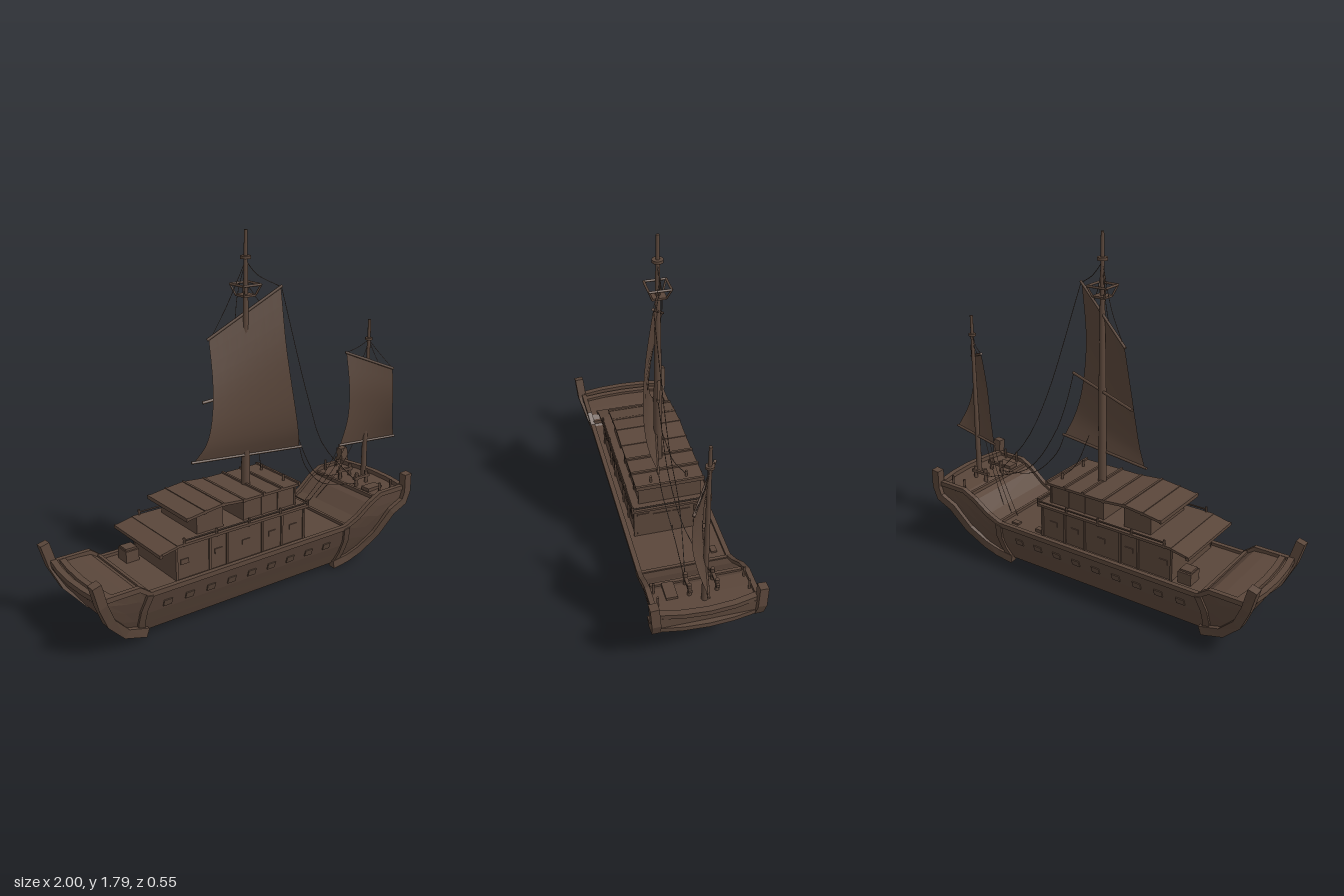
import * as THREE from 'three';

const wood = new THREE.MeshStandardMaterial({ color: 0x5a463a, side: THREE.DoubleSide });
wood.name = 'weathered brown wood';
const V = (x, y, z) => new THREE.Vector3(x, y, z);

export function createModel() {
  const model = new THREE.Group();
  model.name = 'sailingJunk';
  const add = (name, geo, parent = model) => {
    const m = new THREE.Mesh(geo, wood);
    m.name = name;
    parent.add(m);
    return m;
  };
  const box = (name, x0, x1, y0, y1, z0, z1) => {
    const m = add(name, new THREE.BoxGeometry(x1 - x0, y1 - y0, z1 - z0));
    m.position.set((x0 + x1) / 2, (y0 + y1) / 2, (z0 + z1) / 2);
    return m;
  };
  // Faceted skin over matching rings of points, with closed ends
  const loft = (rings) => {
    const p = [], n = rings[0].length;
    const tri = (...v) => v.forEach((q) => p.push(q.x, q.y, q.z));
    for (let i = 0; i + 1 < rings.length; i++) for (let j = 0; j < n; j++) {
      const k = (j + 1) % n, a = rings[i], b = rings[i + 1];
      tri(a[j], a[k], b[k]);
      tri(a[j], b[k], b[j]);
    }
    const s = rings[0], e = rings[rings.length - 1];
    for (let j = 1; j + 1 < n; j++) { tri(s[0], s[j + 1], s[j]); tri(e[0], e[j], e[j + 1]); }
    const g = new THREE.BufferGeometry();
    g.setAttribute('position', new THREE.Float32BufferAttribute(p, 3));
    g.computeVertexNormals();
    return g;
  };
  // Rectangular timber swept along a bent path; w is its size along the side axis
  const beam = (name, pts, w, h, side = V(0, 0, 1)) => add(name, loft(pts.map((p, i) => {
    const T = pts[Math.min(i + 1, pts.length - 1)].clone().sub(pts[Math.max(i - 1, 0)]).normalize();
    const S = side.clone().addScaledVector(T, -side.dot(T)).normalize();
    const N = T.clone().cross(S);
    return [[1, -1], [1, 1], [-1, 1], [-1, -1]].map(([a, b]) =>
      p.clone().addScaledVector(S, a * w / 2).addScaledVector(N, b * h / 2));
  })));
  const pole = (name, a, b, r0, r1 = r0, sides = 8) => {
    const d = b.clone().sub(a);
    const m = add(name, new THREE.CylinderGeometry(r1, r0, d.length(), sides));
    m.position.copy(a).addScaledVector(d, 0.5);
    m.quaternion.setFromUnitVectors(V(0, 1, 0), d.normalize());
    return m;
  };
  const rope = (...pts) => add('rope', new THREE.TubeGeometry(
    new THREE.CatmullRomCurve3(pts.map((p) => V(...p))), 14, 0.0018, 4));

  // Flared half width of the hull at a given height
  const widths = [[0, 0.13], [0.04, 0.145], [0.15, 0.192], [0.27, 0.232], [0.33, 0.24], [0.5, 0.25]];
  const halfWidth = (y) => {
    let i = 0;
    while (i < widths.length - 2 && y > widths[i + 1][0]) i++;
    const [[y0, w0], [y1, w1]] = [widths[i], widths[i + 1]];
    return w0 + (w1 - w0) * (y - y0) / (y1 - y0);
  };

  // Hull stations: x, bottom, top
  const stations = [[-0.965, 0.29, 0.305], [-0.91, 0.19, 0.305], [-0.82, 0.09, 0.305], [-0.76, 0.065, 0.3],
    [-0.7, 0.04, 0.262], [0.47, 0.033, 0.262], [0.55, 0.05, 0.3], [0.63, 0.085, 0.36], [0.7, 0.15, 0.39],
    [0.78, 0.27, 0.395], [0.88, 0.315, 0.395]];
  add('hull', loft(stations.map(([x, b, t]) => {
    const half = [0, 1, 2, 3, 4].map((k) => {
      const y = t + (b - t) * k / 4;
      return V(x, y, halfWidth(y));
    });
    return [...half, V(x, b - 0.01, 0), ...half.map((p) => V(x, p.y, -p.z)).reverse()];
  })));

  const bowEdge = [[0.46, 0.028], [0.55, 0.045], [0.62, 0.08], [0.71, 0.165], [0.785, 0.285], [0.865, 0.325], [0.882, 0.38], [0.875, 0.48]];
  const sternEdge = [[-0.69, 0.04], [-0.81, 0.085], [-0.905, 0.19], [-0.955, 0.3], [-0.985, 0.41]];
  const sheer = [[-0.965, 0.31], [-0.76, 0.31], [-0.7, 0.265], [0.47, 0.265], [0.55, 0.305], [0.63, 0.365], [0.7, 0.4], [0.88, 0.4]];
  for (const s of [1, -1]) {
    // Heavy edge timbers that rise into horn posts
    const alongHull = (list, off) => list.map(([x, y]) => V(x, y, s * (halfWidth(y) + off)));
    beam('bowEdgeTimber', alongHull(bowEdge, 0.002), 0.042, 0.045);
    beam('sternEdgeTimber', alongHull(sternEdge, 0.006), 0.045, 0.045);
    beam('gunwale', alongHull(sheer, -0.006), 0.024, 0.024);
    // Curved ribs where the ends meet the middle of the hull
    for (const [x, dir] of [[0.475, 1], [-0.705, -1]]) {
      beam('hullRib', [0.03, 0.1, 0.18, 0.265].map((y, i) =>
        V(x + dir * [0, 0.018, 0.02, 0][i], y, s * (halfWidth(y) + 0.003))), 0.035, 0.016, V(1, 0, 0));
    }
    // Row of small hull ports
    for (let i = 0; i < 9; i++) {
      const port = box('hullPort', -0.62 + i * 0.12, -0.575 + i * 0.12, 0.165, 0.2, -0.004, 0.004);
      port.position.z = s * 0.204;
      port.rotation.x = s * 0.32;
    }
  }

  // Bowed end rails and deck beams
  const endRail = (name, x, dx, y) => beam(name, [-0.23, -0.12, 0, 0.12, 0.23].map((z) =>
    V(x + dx * (1 - (z / 0.23) ** 2), y, z)), 0.03, 0.025, V(1, 0, 0));
  endRail('sternRail', -0.95, -0.025, 0.315);
  endRail('sternInnerRail', -0.905, -0.02, 0.308);
  endRail('bowRail', 0.86, 0.03, 0.405);
  endRail('bowLip', 0.865, 0.025, 0.325);
  for (const [x, y] of [[-0.72, 0.28], [0.48, 0.268], [0.67, 0.382]])
    box('deckBeam', x - 0.008, x + 0.008, y - 0.01, y + 0.01, -0.22, 0.22);

  // Lower cabin with its roof, posts, windows and rail
  box('lowerCabin', -0.54, 0.225, 0.25, 0.435, -0.185, 0.185);
  box('lowerRoof', -0.54, 0.24, 0.432, 0.445, -0.205, 0.205);
  beam('aftRoofSlope', [V(-0.63, 0.418, 0), V(-0.53, 0.438, 0)], 0.41, 0.012);
  box('aftRoofEdge', -0.635, -0.62, 0.408, 0.424, -0.21, 0.21);
  for (const s of [1, -1]) {
    for (const x of [-0.535, -0.35, -0.25, -0.04, 0.08, 0.22])
      box('cabinPost', x - 0.006, x + 0.006, 0.262, 0.435, s * 0.187 - 0.005, s * 0.187 + 0.005);
    for (const x of [-0.49, -0.3, -0.14, 0.02, 0.15])
      box('cabinWindow', x - 0.022, x + 0.022, 0.335, 0.36, s * 0.187 - 0.003, s * 0.187 + 0.003);
    pole('roofRail', V(-0.5, 0.458, s * 0.2), V(0.24, 0.458, s * 0.2), 0.004, 0.004, 6);
    for (const x of [-0.5, -0.32, -0.13, 0.06, 0.235])
      pole('railPost', V(x, 0.43, s * 0.2), V(x, 0.472, s * 0.2), 0.006, 0.006, 6);
    pole('roofPin', V(0.165, 0.55, s * 0.09), V(0.165, 0.59, s * 0.09), 0.007);
    box('frontDoor', 0.226, 0.23, 0.27, 0.4, s * 0.05 - 0.045, s * 0.05 + 0.045);
    box('frontPanel', 0.226, 0.23, 0.28, 0.41, s * 0.145 - 0.03, s * 0.145 + 0.03);
  }
  pole('frontRail', V(0.235, 0.458, -0.2), V(0.235, 0.458, 0.2), 0.004, 0.004, 6);

  // Upper cabins and their shared bent roof
  box('upperForeCabin', -0.135, 0.19, 0.44, 0.55, -0.155, 0.155);
  box('upperAftCabin', -0.4, -0.25, 0.44, 0.55, -0.155, 0.155);
  box('upperForeRoof', -0.14, 0.205, 0.545, 0.558, -0.172, 0.172);
  const roofLine = [[-0.46, 0.538], [-0.36, 0.552], [-0.26, 0.563], [-0.14, 0.552]];
  beam('upperAftRoof', roofLine.map(([x, y]) => V(x, y, 0)), 0.345, 0.013);
  for (const [x, y] of [...roofLine, [-0.02, 0.557], [0.09, 0.557], [0.2, 0.557]])
    box('roofBatten', x - 0.006, x + 0.006, y - 0.009, y + 0.01, -0.174, 0.174);
  for (const s of [1, -1]) {
    for (const x of [-0.13, -0.02, 0.08, 0.185])
      box('upperPost', x - 0.005, x + 0.005, 0.445, 0.548, s * 0.156 - 0.004, s * 0.156 + 0.004);
  }

  // Deck fittings
  box('sternChest', -0.635, -0.565, 0.26, 0.32, -0.18, -0.1);
  box('sternChestLid', -0.63, -0.57, 0.32, 0.33, -0.17, -0.11);
  box('bowHatch', 0.685, 0.78, 0.39, 0.408, 0.115, 0.17);
  box('deckCleat', 0.24, 0.275, 0.26, 0.28, -0.18, -0.15);
  box('deckCleat', 0.39, 0.43, 0.26, 0.272, -0.18, -0.15);
  for (const z of [-0.07, 0.06]) {
    for (const x of [0.7, 0.77]) pole('bitt', V(x, 0.385, z), V(x, 0.46, z), 0.01);
    box('bittBar', 0.68, 0.79, 0.425, 0.44, z - 0.008, z + 0.008);
  }
  for (const z of [-0.215, 0.215]) for (const x of [0.72, 0.8])
    pole('bowPin', V(x, 0.39, z), V(x, 0.45, z), 0.006);

  // Masts with caps
  pole('mainMast', V(-0.01, 0.26, 0.01), V(-0.01, 1.0, 0.01), 0.025, 0.02, 10);
  pole('mainTopmast', V(-0.01, 1.0, 0.01), V(-0.01, 1.8, 0.01), 0.02, 0.008, 10);
  pole('mainMastCap', V(-0.01, 1.668, 0.01), V(-0.01, 1.682, 0.01), 0.027, 0.027, 10);
  pole('foreMast', V(0.808, 0.38, 0), V(0.808, 1.28, 0), 0.016, 0.008, 10);
  pole('foreMastCap', V(0.808, 1.17, 0), V(0.808, 1.182, 0), 0.02, 0.02, 10);

  // Open square lookout frame
  const corner = (i, r, y) => V(-0.01 + r * [1, -1, -1, 1][i % 4], y, 0.01 + r * [1, 1, -1, -1][i % 4]);
  box('lookoutFloor', -0.045, 0.025, 1.494, 1.504, -0.025, 0.045);
  for (let i = 0; i < 4; i++) {
    pole('lookoutStrut', corner(i, 0.033, 1.5), corner(i, 0.052, 1.55), 0.005);
    pole('lookoutRail', corner(i, 0.052, 1.55), corner(i + 1, 0.052, 1.55), 0.006);
  }

  // Sails: two curved side edges, skinned across and bellied forward
  const sail = (name, left, right, belly) => {
    const [L, R] = [left, right].map((e) => new THREE.CatmullRomCurve3(e.map((p) => V(...p))));
    const g = new THREE.PlaneGeometry(1, 1, 8, 14), p = g.attributes.position;
    for (let i = 0; i < p.count; i++) {
      const u = p.getX(i) + 0.5, v = 0.5 - p.getY(i);
      const q = L.getPoint(v).lerp(R.getPoint(v), u);
      p.setXYZ(i, q.x, q.y, q.z + belly * Math.sin(Math.PI * v));
    }
    g.computeVertexNormals();
    add(name, g);
    const spar = (k) => pole(name + 'Spar', V(...left[k]).lerp(V(...right[k]), -0.02), V(...right[k]).lerp(V(...left[k]), -0.02), 0.007);
    spar(0);
    spar(left.length - 1);
  };
  sail('mainSail',
    [[-0.177, 1.3, -0.055], [-0.185, 1.1, -0.045], [-0.205, 0.92, -0.04], [-0.235, 0.8, -0.035], [-0.285, 0.715, -0.035]],
    [[0.152, 1.53, 0.07], [0.158, 1.24, 0.08], [0.195, 0.98, 0.085], [0.235, 0.82, 0.085], [0.275, 0.71, 0.08]], 0.045);
  sail('foreSail',
    [[0.702, 1.105, -0.055], [0.702, 0.92, -0.04], [0.692, 0.75, -0.035], [0.66, 0.602, -0.035]],
    [[0.904, 1.018, 0.09], [0.908, 0.87, 0.08], [0.935, 0.73, 0.06], [0.985, 0.61, 0.04]], 0.02);
  pole('mainMiddleSpar', V(-0.22, 0.998, -0.05), V(0.2, 1.07, 0.06), 0.008);

  // Rigging
  rope([0.155, 1.53, 0.07], [0.36, 0.92, 0.05], [0.48, 0.66, 0.03], [0.7, 0.41, 0.06]);
  rope([0.2, 1.06, 0.06], [0.24, 0.9, 0.05], [0.31, 0.72, 0.04], [0.46, 0.5, 0], [0.7, 0.41, -0.07]);
  rope([0.275, 0.71, 0.08], [0.32, 0.6, 0.07], [0.46, 0.46, 0.05], [0.7, 0.4, 0.06]);
  rope([0.07, 0.78, 0.01], [0.12, 0.62, -0.04], [0.165, 0.57, -0.09]);
  for (const t of [0, 0.35, 0.7, 1]) {
    rope([-0.01, 1.66, 0.01], [0.05 * t - 0.09 * (1 - t), 1.45 + 0.14 * t, 0.02 * t - 0.03 * (1 - t)],
      [-0.17 + 0.32 * t, 1.3 + 0.23 * t, -0.05 + 0.12 * t]);
    rope([0.808, 1.17, 0], [0.76 + 0.1 * t, 1.13 - 0.04 * t, -0.03 + 0.07 * t],
      [0.704 + 0.2 * t, 1.105 - 0.087 * t, -0.055 + 0.145 * t]);
  }
  for (const [x, z] of [[0.66, -0.035], [0.7, -0.025], [0.74, -0.015]])
    rope([x, 0.604, z], [x - 0.07, 0.46, z - 0.03], [x - 0.21, 0.27, -0.11]);
  return model;
}
